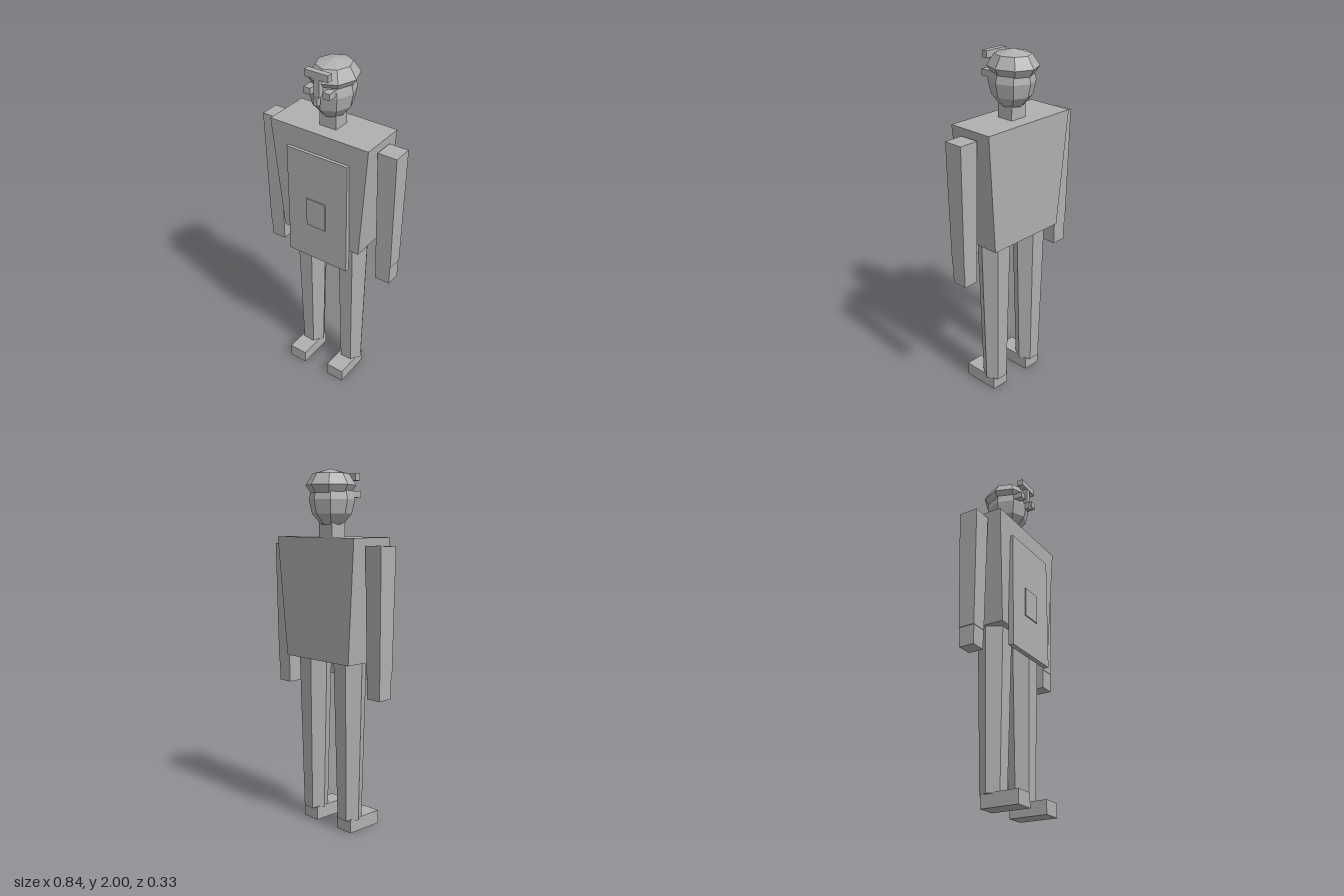
import * as THREE from 'three';

const grey = new THREE.MeshStandardMaterial({ color: 0xb0b0b0 });

// Faceted mesh: every face keeps its own flat normal
function addPart(group, name, geometry) {
  const g = geometry.index ? geometry.toNonIndexed() : geometry;
  g.computeVertexNormals();
  const mesh = new THREE.Mesh(g, grey);
  mesh.name = name;
  group.add(mesh);
  return mesh;
}

// Box given by its limits on each axis
function block(x0, x1, y0, y1, z0, z1) {
  return new THREE.BoxGeometry(x1 - x0, y1 - y0, z1 - z0)
    .translate((x0 + x1) / 2, (y0 + y1) / 2, (z0 + z1) / 2);
}

// Box whose top and bottom have different half sizes [x, z]
function taperedBlock(y0, y1, bottom, top, x, z) {
  const g = new THREE.BoxGeometry(2, y1 - y0, 2);
  const p = g.attributes.position;
  for (let i = 0; i < p.count; i++) {
    const [hx, hz] = p.getY(i) > 0 ? top : bottom;
    p.setX(i, p.getX(i) * hx);
    p.setZ(i, p.getZ(i) * hz);
  }
  return g.translate(x, (y0 + y1) / 2, z);
}

// Low-poly ellipsoid with eight sides
function ball(rows, rx, ry, rz, y, z) {
  return new THREE.SphereGeometry(1, 8, rows).scale(rx, ry, rz).translate(0, y, z);
}

export function createModel() {
  const model = new THREE.Group();
  model.name = 'figure';

  // Body
  addPart(model, 'torso', taperedBlock(0.968, 1.638, [0.247, 0.118], [0.303, 0.135], 0, -0.014));
  addPart(model, 'apron', block(-0.19, 0.19, 0.846, 1.516, 0.107, 0.136));
  addPart(model, 'apronPocket', block(-0.065, 0.055, 1.066, 1.235, 0.134, 0.143));
  addPart(model, 'neck', block(-0.052, 0.052, 1.63, 1.76, -0.064, 0.034));

  // Head and cap
  addPart(model, 'head', ball(6, 0.12, 0.15, 0.13, 1.837, -0.016));
  addPart(model, 'cap', ball(4, 0.131, 0.086, 0.143, 1.914, -0.024));

  // Face pieces
  addPart(model, 'browBar', block(-0.07, 0.07, 1.94, 1.978, 0.095, 0.129));
  addPart(model, 'noseBridge', block(-0.017, 0.017, 1.845, 1.945, 0.095, 0.128));
  addPart(model, 'noseTip', block(-0.013, 0.013, 1.803, 1.846, 0.112, 0.14));

  for (const [side, s] of [['left', 1], ['right', -1]]) {
    addPart(model, side + 'Eye', block(s * 0.058 - 0.02, s * 0.058 + 0.02, 1.848, 1.883, 0.07, 0.128));

    // Arm with a slightly narrower hand
    addPart(model, side + 'Arm', taperedBlock(0.9, 1.596, [0.047, 0.047], [0.056, 0.056], s * 0.363, -0.014));
    addPart(model, side + 'Hand', taperedBlock(0.79, 0.9, [0.044, 0.044], [0.045, 0.045], s * 0.361, -0.014));

    // Six-sided leg, widest at the hip
    addPart(model, side + 'Leg', new THREE.CylinderGeometry(0.093, 0.07, 0.91, 6)
      .rotateY(Math.PI / 6).translate(s * 0.14, 0.525, -0.012));
    addPart(model, side + 'Foot', block(s * 0.138 - 0.055, s * 0.138 + 0.055, 0, 0.077, -0.056, 0.166));
  }
  return model;
}
